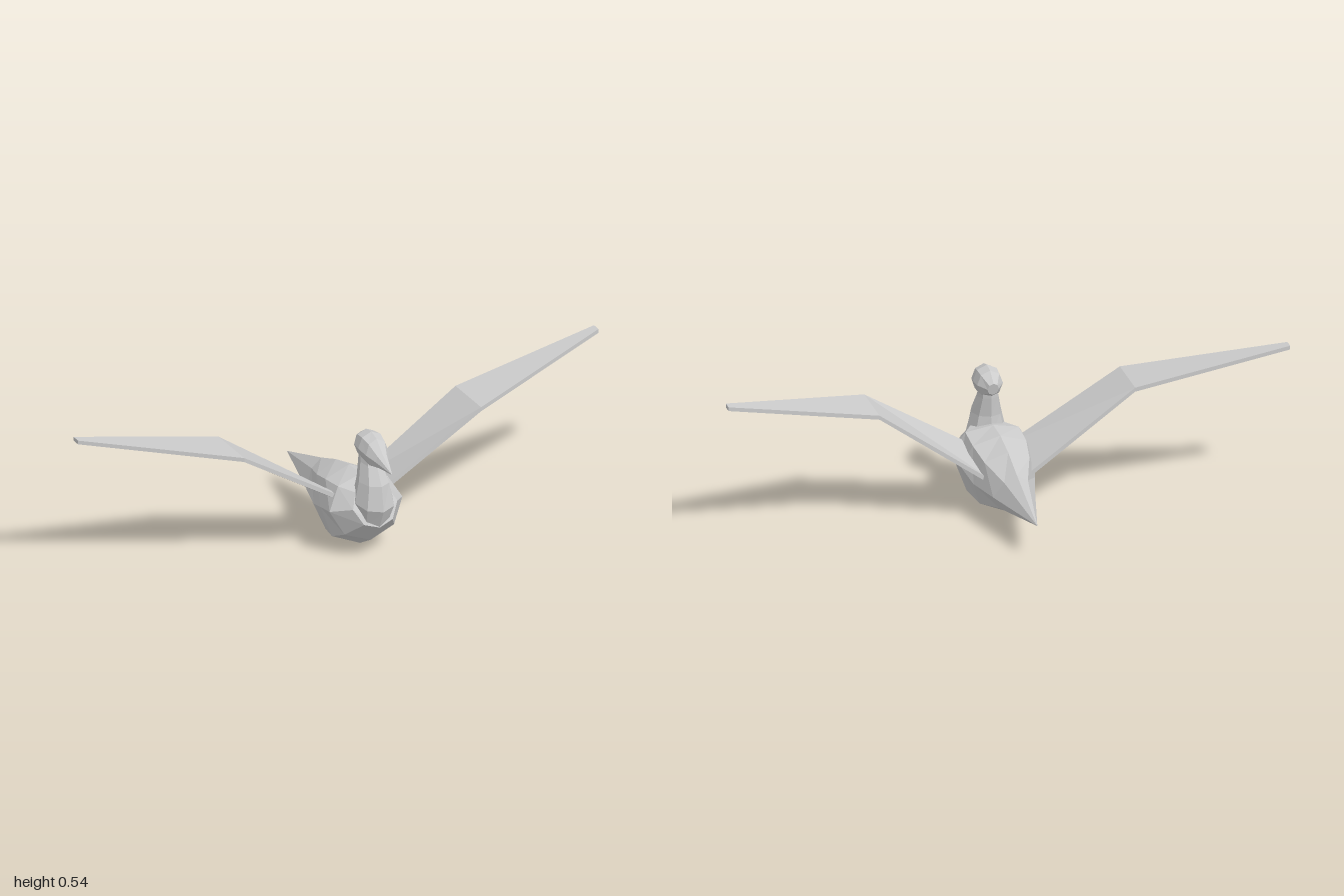
import * as THREE from 'three';

const material = new THREE.MeshStandardMaterial({ color: 0xcccccc, flatShading: true });

// Skin a list of equal-length rings (counter-clockwise seen from the last ring) and cap both ends.
function loft(name, rings) {
  const n = rings[0].length, pos = [];
  const dist = (p, q) => Math.hypot(p[0] - q[0], p[1] - q[1], p[2] - q[2]);
  const tri = (a, b, c) => {
    if (Math.min(dist(a, b), dist(b, c), dist(c, a)) > 1e-6) pos.push(...a, ...b, ...c);
  };
  for (let i = 0; i < rings.length - 1; i++) {
    for (let j = 0; j < n; j++) {
      const k = (j + 1) % n;
      tri(rings[i][j], rings[i][k], rings[i + 1][k]);
      tri(rings[i][j], rings[i + 1][k], rings[i + 1][j]);
    }
  }
  const first = rings[0], last = rings[rings.length - 1];
  for (let j = 1; j < n - 1; j++) {
    tri(first[0], first[j + 1], first[j]);
    tri(last[0], last[j], last[j + 1]);
  }
  const geo = new THREE.BufferGeometry();
  geo.setAttribute('position', new THREE.Float32BufferAttribute(pos, 3));
  geo.computeVertexNormals();
  const mesh = new THREE.Mesh(geo, material);
  mesh.name = name;
  return mesh;
}

// Full ring from its +x half, listed from the keel up to the spine.
const mirrorRing = (half) => [
  ...half,
  ...half.slice(1, -1).reverse().map(([x, y, z]) => [-x, y, z]),
];

// Octagonal ring between two points of the centre plane, each given as [z, y].
function ovalRing([z0, y0], [z1, y1], halfWidth) {
  return Array.from({ length: 8 }, (_, i) => {
    const a = (i * Math.PI) / 4, t = (1 - Math.cos(a)) / 2;
    return [halfWidth * Math.sin(a), y0 + (y1 - y0) * t, z0 + (z1 - z0) * t];
  });
}

// One two-panel wing; stations run from the root to the tip.
function wing(name, side) {
  const stations = [
    // x, leading z, leading y, trailing z, trailing y, thickness
    [0.05, 0.175, 0.175, -0.03, 0.13, 0.018],
    [0.455, 0.175, 0.42, -0.02, 0.42, 0.015],
    [1.0, -0.01, 0.525, -0.045, 0.525, 0.014],
  ];
  return loft(name, stations.map(([x, zl, yl, zt, yt, t]) => {
    const ring = [[x, yt, zt], [x, yt + t, zt], [x, yl + t, zl], [x, yl, zl]]
      .map(([px, py, pz]) => [px * side, py, pz]);
    return side > 0 ? ring : ring.reverse();
  }));
}

export function createModel() {
  const bird = new THREE.Group();
  bird.name = 'bird';

  // Body and pointed tail: keel, lower, flank, upper and spine points per section
  bird.add(loft('body', [
    Array(5).fill([0, 0.127, -0.4]),
    [[0, 0.043, -0.07], [0.045, 0.068, -0.08], [0.075, 0.122, -0.105], [0.042, 0.182, -0.13], [0, 0.21, -0.14]],
    [[0, 0.003, 0.06], [0.08, 0.037, 0.05], [0.11, 0.125, 0.02], [0.08, 0.215, -0.015], [0, 0.25, -0.03]],
    [[0, 0.01, 0.155], [0.1, 0.05, 0.14], [0.13, 0.155, 0.11], [0.095, 0.24, 0.08], [0, 0.272, 0.07]],
    [[0, 0.055, 0.235], [0.095, 0.09, 0.225], [0.14, 0.175, 0.2], [0.095, 0.252, 0.175], [0, 0.275, 0.16]],
    [[0, 0.13, 0.305], [0.055, 0.147, 0.295], [0.085, 0.2, 0.27], [0.06, 0.248, 0.238], [0, 0.262, 0.22]],
  ].map(mirrorRing)));

  // Curved neck, from the breast up into the head
  bird.add(loft('neck', [
    ovalRing([0.303, 0.13], [0.18, 0.19], 0.06),
    ovalRing([0.335, 0.2], [0.18, 0.235], 0.072),
    ovalRing([0.32, 0.29], [0.185, 0.295], 0.054),
    ovalRing([0.285, 0.35], [0.18, 0.365], 0.038),
    ovalRing([0.265, 0.39], [0.18, 0.41], 0.034),
  ].map((r) => r.slice().reverse()).map((r) => r.map(([x, y, z]) => [-x, y, z]))
    .map((r) => r.map(([x, y, z]) => [x, y, z]).reverse().map(([x, y, z]) => [x, y, z]))
    .reverse()));

  // Head tapering to the beak
  bird.add(loft('head', [
    ovalRing([0.165, 0.385], [0.155, 0.43], 0.02),
    ovalRing([0.2, 0.362], [0.2, 0.461], 0.046),
    ovalRing([0.24, 0.358], [0.24, 0.467], 0.05),
    ovalRing([0.29, 0.35], [0.28, 0.456], 0.043),
    ovalRing([0.325, 0.361], [0.322, 0.418], 0.025),
    ovalRing([0.4, 0.368], [0.4, 0.368], 0),
  ]));

  bird.add(wing('leftWing', 1), wing('rightWing', -1));
  return bird;
}
